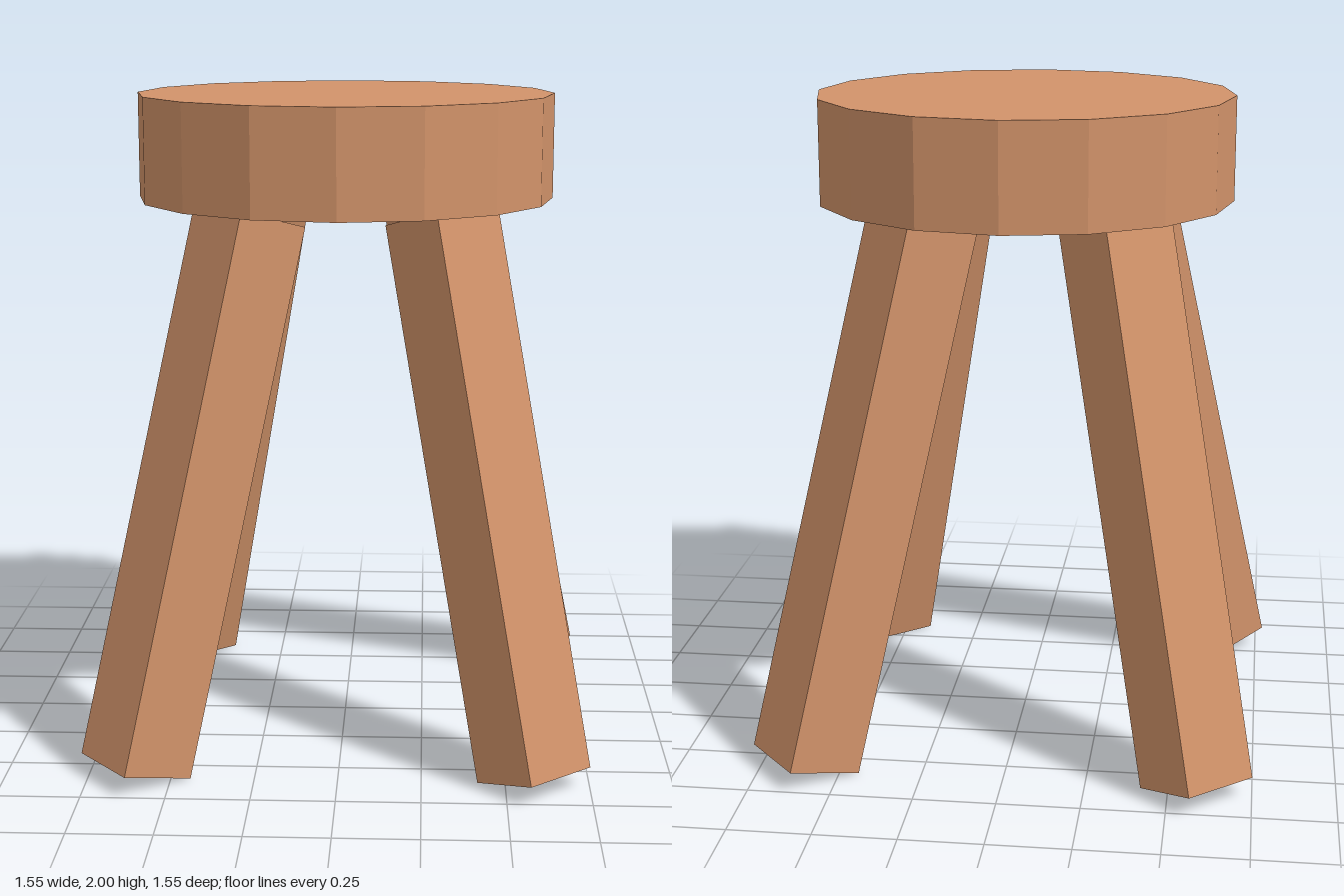
import * as THREE from 'three';

export function createModel() {
  const stool = new THREE.Group();
  stool.name = 'stool';
  const wood = new THREE.MeshStandardMaterial({ color: 0xd2936a, flatShading: true });

  // Thick sixteen-sided seat
  const seat = new THREE.Mesh(new THREE.CylinderGeometry(0.64, 0.64, 0.32, 16), wood);
  seat.name = 'seat';
  seat.position.y = 1.84;
  stool.add(seat);

  // Four square legs splayed outward, each turned slightly off the diagonal
  const legGeometry = new THREE.BoxGeometry(0.24, 1.684, 0.24);
  const names = ['frontLeftLeg', 'backLeftLeg', 'backRightLeg', 'frontRightLeg'];
  names.forEach((name, i) => {
    const pivot = new THREE.Group();
    pivot.name = name;
    pivot.rotation.y = i * Math.PI / 2;
    const leg = new THREE.Mesh(legGeometry, wood);
    leg.name = name + 'Post';
    leg.position.set(0.44, 0.844, 0.44);
    leg.rotation.set(THREE.MathUtils.degToRad(-15.2), THREE.MathUtils.degToRad(40.7), 0, 'YXZ');
    pivot.add(leg);
    stool.add(pivot);
  });

  return stool;
}
